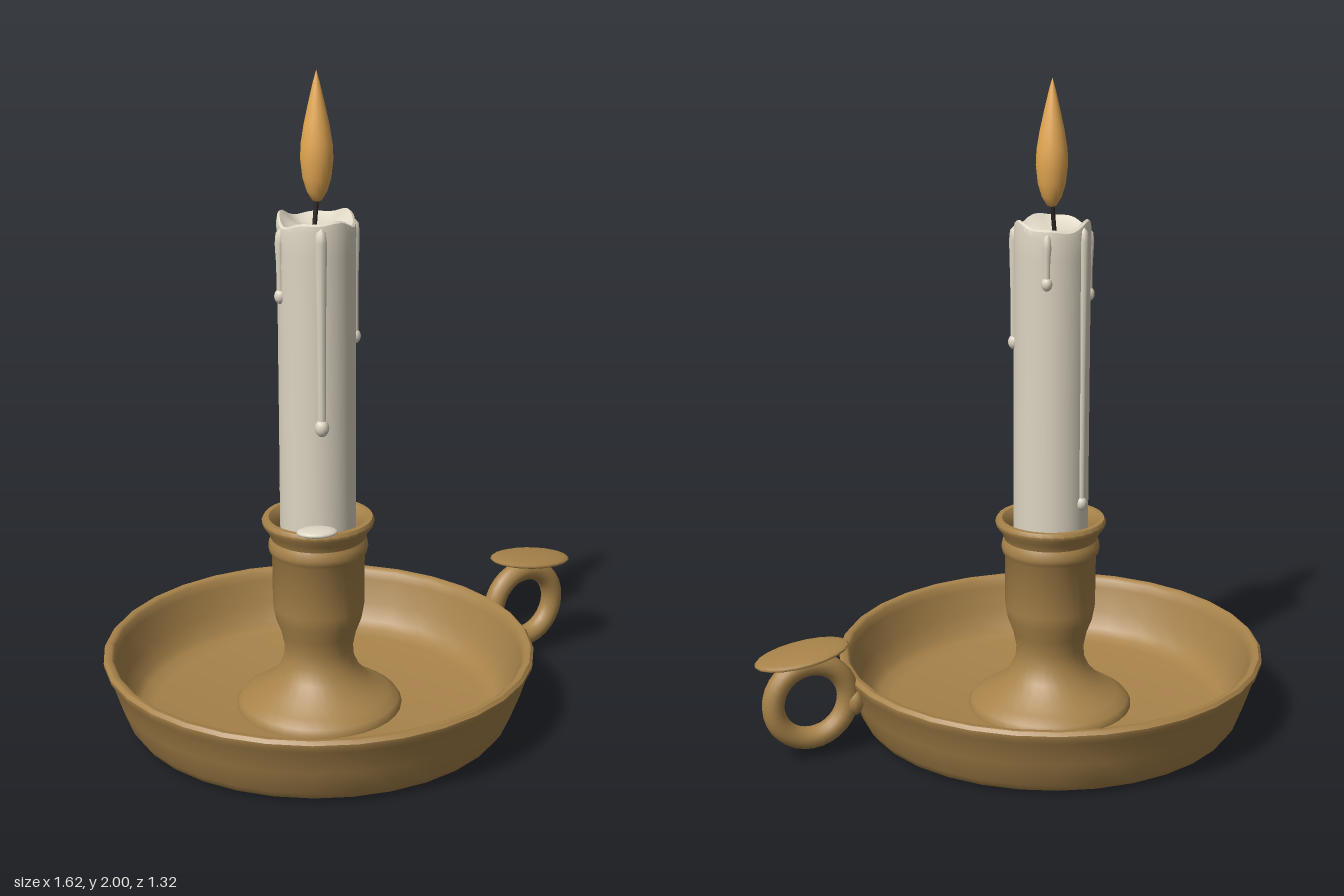
import * as THREE from 'three';
import { toCreasedNormals } from 'three/addons/utils/BufferGeometryUtils.js';

const brass = new THREE.MeshStandardMaterial({ color: 0xa8834a });
const wax = new THREE.MeshStandardMaterial({ color: 0xddd5c3 });
const wickMat = new THREE.MeshStandardMaterial({ color: 0x2a2420 });
const flameMat = new THREE.MeshStandardMaterial({ color: 0xe5a853 });

const AXIS = -0.15; // x of the candle axis

function add(parent, name, geometry, material, x = 0, y = 0, z = 0) {
  const mesh = new THREE.Mesh(geometry, material);
  mesh.name = name;
  mesh.position.set(x, y, z);
  parent.add(mesh);
  return mesh;
}

// Profiles are [radius, height], running up the outside and down the inside
const lathe = (profile, segments) =>
  new THREE.LatheGeometry(profile.map(([r, y]) => new THREE.Vector2(r, y)), segments);
const creased = (profile, segments, crease = 0.75) =>
  toCreasedNormals(lathe(profile, segments), crease);

// Uneven height of the candle's melted lip around its axis
const lipWave = (a) => 0.011 * Math.sin(3 * a + 2.6) + 0.007 * Math.sin(5 * a + 0.6);

function candleGeometry() {
  const g = lathe([
    [0, 0.5], [0.115, 0.5], [0.115, 1.0], [0.115, 1.48], [0.116, 1.55], [0.113, 1.568],
    [0.106, 1.573], [0.098, 1.566], [0.08, 1.552], [0.045, 1.542], [0, 1.54],
  ], 40);
  const p = g.attributes.position;
  for (let i = 0; i < p.count; i++) {
    const x = p.getX(i), y = p.getY(i), z = p.getZ(i);
    if (y < 1.5) continue;
    const fade = Math.min(1, Math.hypot(x, z) / 0.1);
    p.setY(i, y + lipWave(Math.atan2(x, z)) * fade * fade);
  }
  return toCreasedNormals(g, 0.75);
}

// A run of wax down the side, ending in a bead
function addDrip(parent, x, z, bottom, radius) {
  const drip = new THREE.Group();
  drip.name = 'waxDrip';
  const a = Math.atan2(x, z);
  drip.position.set(0.114 * Math.sin(a), 0, 0.114 * Math.cos(a));
  const top = 1.55 + lipWave(a);
  add(drip, 'dripRun', lathe([
    [radius * 0.7, bottom], [radius * 0.75, bottom + (top - bottom) * 0.5],
    [radius, top - 0.03], [radius * 0.8, top], [0, top + 0.012],
  ], 10), wax);
  add(drip, 'dripBead', new THREE.SphereGeometry(radius * 1.2, 12, 10), wax, 0, bottom, 0)
    .scale.y = 1.25;
  parent.add(drip);
}

export function createModel() {
  const model = new THREE.Group();
  model.name = 'chamberstick';
  const stick = new THREE.Group();
  stick.name = 'candlestick';
  stick.position.x = AXIS;
  model.add(stick);

  // Saucer with a rounded foot and rolled rim
  add(stick, 'dish', creased([
    [0, 0.008], [0.5, 0.008], [0.525, 0], [0.555, 0.002], [0.578, 0.012], [0.595, 0.036],
    [0.625, 0.115], [0.648, 0.19], [0.66, 0.208], [0.661, 0.22], [0.652, 0.23],
    [0.638, 0.23], [0.629, 0.222], [0.622, 0.195], [0.597, 0.12], [0.572, 0.066],
    [0.55, 0.046], [0.51, 0.036], [0, 0.034],
  ], 32), brass);

  // Domed foot, waisted neck and flared cup
  add(stick, 'socket', creased([
    [0.255, 0.03], [0.255, 0.044], [0.245, 0.058], [0.215, 0.078], [0.17, 0.105],
    [0.13, 0.145], [0.108, 0.19], [0.105, 0.23], [0.115, 0.28], [0.132, 0.325], [0.14, 0.37],
    [0.141, 0.535], [0.149, 0.545], [0.152, 0.56], [0.149, 0.577], [0.144, 0.588],
    [0.152, 0.61], [0.168, 0.63], [0.171, 0.642], [0.165, 0.653], [0.15, 0.653],
    [0.138, 0.64], [0.128, 0.615], [0.124, 0.56], [0, 0.56],
  ], 32), brass);

  // Candle
  const candle = new THREE.Group();
  candle.name = 'candle';
  stick.add(candle);
  add(candle, 'candleBody', candleGeometry(), wax);
  [
    [-0.05, 0.105, 0.97, 0.018], [0.108, 0.04, 1.21, 0.015], [-0.115, -0.02, 1.35, 0.015],
    [0.065, -0.1, 1.41, 0.014], [-0.055, -0.1, 0.72, 0.015],
  ].forEach((d) => addDrip(candle, ...d));

  // Spilled wax on the cup's rim
  const spill = add(candle, 'waxSpill', new THREE.SphereGeometry(1, 18, 10), wax, -0.078, 0.655, 0.118);
  spill.scale.set(0.062, 0.013, 0.043);
  spill.rotation.y = -0.45;

  const wickPath = new THREE.CatmullRomCurve3([
    new THREE.Vector3(-0.008, 1.53, 0), new THREE.Vector3(-0.003, 1.58, 0),
    new THREE.Vector3(0.003, 1.645, 0),
  ]);
  add(candle, 'wick', new THREE.TubeGeometry(wickPath, 6, 0.007, 8), wickMat);

  add(candle, 'flame', lathe([
    [0, 1.618], [0.014, 1.624], [0.03, 1.65], [0.042, 1.69], [0.048, 1.745], [0.046, 1.79],
    [0.037, 1.845], [0.024, 1.905], [0.01, 1.965], [0, 2.0],
  ], 20), flameMat, 0.003);

  // Finger ring with its joint and tilted thumb rest
  const handle = new THREE.Group();
  handle.name = 'handle';
  model.add(handle);
  add(handle, 'fingerRing', new THREE.TorusGeometry(0.118, 0.034, 14, 32), brass, 0.64, 0.18, 0);
  add(handle, 'ringJoint', new THREE.SphereGeometry(1, 14, 10), brass, 0.508, 0.16, 0)
    .scale.set(0.034, 0.048, 0.044);
  const rest = add(handle, 'thumbRest', new THREE.SphereGeometry(1, 20, 12), brass, 0.664, 0.334, 0);
  rest.scale.set(0.147, 0.017, 0.092);
  rest.rotation.z = -0.13;

  return model;
}
